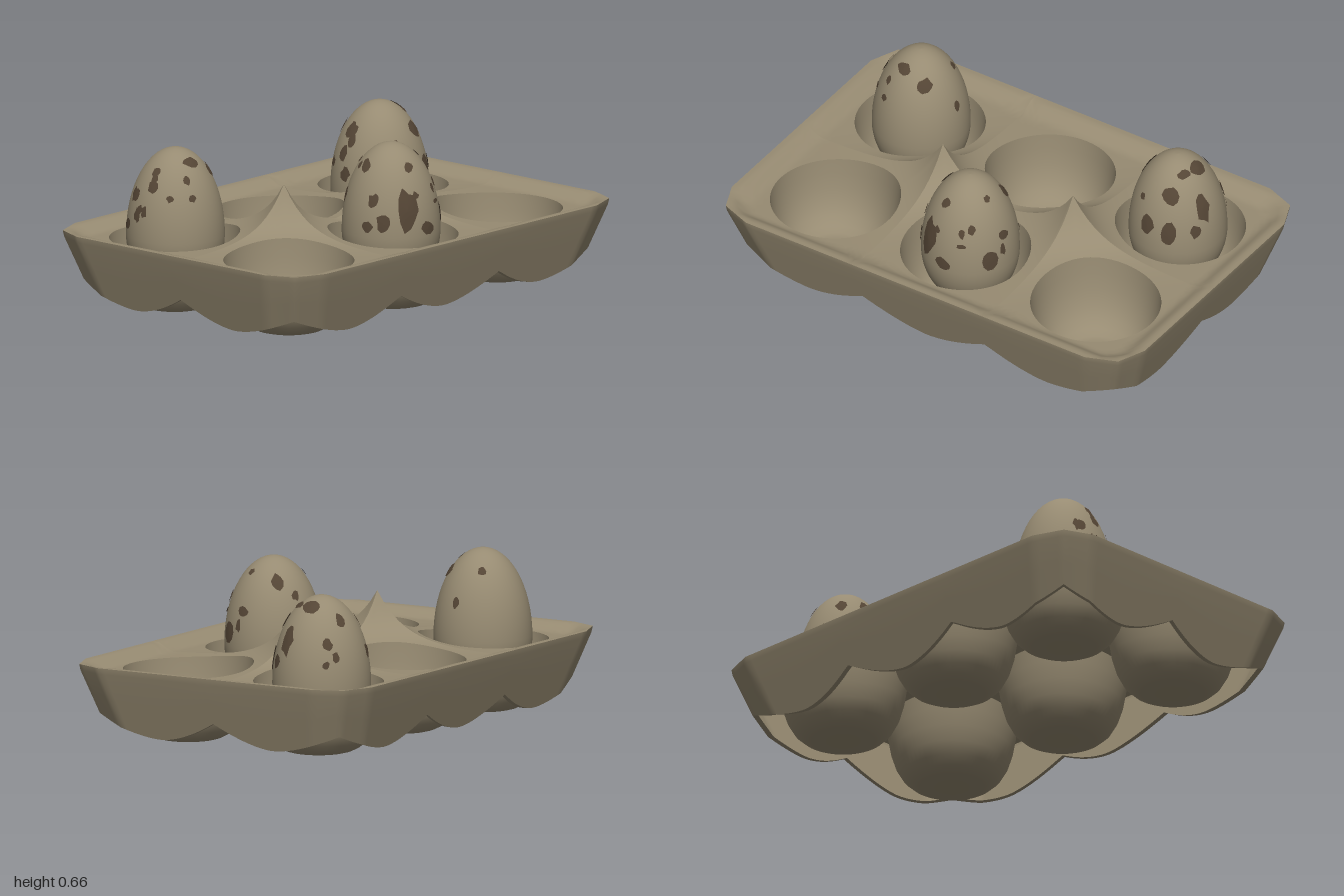
import * as THREE from 'three';
import { mergeGeometries } from 'three/addons/utils/BufferGeometryUtils.js';

const PULP = new THREE.MeshStandardMaterial({ color: 0x978b72, side: THREE.DoubleSide });
PULP.name = 'pulp';
const SHELL = new THREE.MeshStandardMaterial({ color: 0x978b72 });
SHELL.name = 'eggshell';
const SPOT = new THREE.MeshStandardMaterial({ color: 0x544535, side: THREE.DoubleSide });
SPOT.name = 'spot brown';

const RIM = 0.32, BASE = 0.285, CUP_R = 0.265, CX = 0.63, CZ = 0.31, PEAK_X = 0.315, HALF_Z = 0.68;

let seed = 7;
const rand = () => (seed = (seed * 16807) % 2147483647) / 2147483647;

function mesh(name, geometry, material) {
  const m = new THREE.Mesh(geometry, material);
  m.name = name;
  return m;
}

// Surface through rows of [x, y, z] points, each row a closed loop
function loft(rows) {
  const n = rows[0].length, index = [];
  for (let i = 0; i < rows.length - 1; i++) {
    for (let j = 0; j < n; j++) {
      const a = i * n + j, b = i * n + (j + 1) % n;
      index.push(a, a + n, b, b, a + n, b + n);
    }
  }
  const g = new THREE.BufferGeometry();
  g.setAttribute('position', new THREE.Float32BufferAttribute(rows.flat(2), 3));
  g.setIndex(index);
  g.computeVertexNormals();
  return g;
}

// Splits the sides of a closed polygon into short steps
function subdivide(poly, step) {
  return poly.flatMap(([x, z], i) => {
    const [x2, z2] = poly[(i + 1) % poly.length];
    const n = Math.ceil(Math.hypot(x2 - x, z2 - z) / step - 1e-6);
    return Array.from({ length: n }, (_, k) => [x + (x2 - x) * k / n, z + (z2 - z) * k / n]);
  });
}

// Height of the tray's upper sheet: two pointed peaks and a raised lip
function sheetHeight(x, z) {
  const ax = Math.abs(x), az = Math.abs(z);
  const d = Math.abs(ax - PEAK_X) + az;
  const edge = Math.min(1 - ax, HALF_Z - az, (1.58 - ax - az) * 0.7);
  const lip = 1 - THREE.MathUtils.smoothstep(edge, 0.025, 0.1);
  const inner = BASE + 0.215 * Math.exp(-d / 0.13);
  return inner + (RIM - inner) * lip;
}

// One cell: a round cup and the sheet around it
function cell(sx, sz) {
  const poly = sx
    ? [[PEAK_X, 0], [1, 0], [1, 0.51], [0.95, 0.63], [0.82, HALF_Z], [PEAK_X, HALF_Z]]
    : [[-PEAK_X, 0], [PEAK_X, 0], [PEAK_X, HALF_Z], [-PEAK_X, HALF_Z]];
  const border = subdivide(poly, 0.035).map(([x, z]) => [x * (sx || 1), z * sz]);
  const cx = sx * CX, cz = sz * CZ;
  const circle = border.map(([x, z]) => {
    const l = Math.hypot(x - cx, z - cz);
    return [cx + (x - cx) / l * CUP_R, cz + (z - cz) / l * CUP_R];
  });
  const sheet = [0, 0.15, 0.3, 0.45, 0.6, 0.75, 0.88, 1].map(t => border.map(([x, z], i) => {
    const px = circle[i][0] + (x - circle[i][0]) * t, pz = circle[i][1] + (z - circle[i][1]) * t;
    return [px, sheetHeight(px, pz), pz];
  }));
  // cup profile as [radius, height] fractions
  const profile = [[0, 0.01], [0.25, 0.01], [0.45, 0.01], [0.53, 0.03], [0.64, 0.08], [0.76, 0.18],
    [0.86, 0.34], [0.93, 0.54], [0.975, 0.77], [1, 1]];
  const bowl = profile.map(([r, h]) => circle.map(([x, z]) =>
    [cx + (x - cx) * r, sheetHeight(x, z) * h, cz + (z - cz) * r]));
  const g = new THREE.Group();
  g.name = 'cell';
  g.add(mesh('cup', loft(bowl), PULP), mesh('sheet', loft(sheet), PULP));
  return g;
}

// Sloping outer wall with a scalloped lower edge
function skirt() {
  const quarter = [[1, 0.51], [0.95, 0.63], [0.82, HALF_Z]];
  const outline = [
    ...quarter,
    ...quarter.map(([x, z]) => [-x, z]).reverse(),
    ...quarter.map(([x, z]) => [-x, -z]),
    ...quarter.map(([x, z]) => [x, -z]).reverse(),
  ];
  const pts = subdivide(outline, 0.03);
  const scallop = u => 0.035 + 0.095 * Math.pow(Math.min(u / 0.315, 1.1), 1.7);
  const low = pts.map(([x, z]) => {
    const ax = Math.abs(x), az = Math.abs(z);
    if (az >= 0.629) return scallop(ax > CX ? (ax - CX) * 0.9 : Math.min(ax, CX - ax));
    return scallop(az > CZ ? (az - CZ) * 0.9 : CZ - az);
  });
  const inset = ([x, z], o, y) => [x * (1 - o), y, z * (1 - o / HALF_Z)];
  const slope = y => 0.004 + Math.max(0, 0.295 - y) * 0.34;
  const rows = [
    pts.map(p => inset(p, 0, RIM)),
    pts.map(p => inset(p, 0.004, 0.295)),
    pts.map((p, i) => inset(p, slope((0.295 + low[i]) / 2), (0.295 + low[i]) / 2)),
    pts.map((p, i) => inset(p, slope(low[i]), low[i])),
  ];
  const inner = [
    pts.map((p, i) => inset(p, slope(low[i]) + 0.018, low[i])),
    pts.map(p => inset(p, 0.022, 0.295)),
  ];
  const g = new THREE.Group();
  g.name = 'skirt';
  g.add(mesh('outerWall', loft(rows), PULP), mesh('lowerEdge', loft([rows[3], inner[0]]), PULP),
    mesh('innerWall', loft(inner), PULP));
  return g;
}

// Egg: blunt lower half, longer upper half
const EGG_R = 0.2, EGG_MID = 0.3, EGG_LOW = 0.24, EGG_TOP = 0.36;
function eggPoint(az, lat, lift = 0) {
  const r = (EGG_R + lift) * Math.cos(lat);
  const y = EGG_MID + (lat > 0 ? EGG_TOP + lift : EGG_LOW) * Math.sin(lat);
  return [r * Math.sin(az), y, r * Math.cos(az)];
}

// Irregular patch lying on the shell: azimuth in degrees, height, width, tallness
function spot([deg, y, w, h]) {
  const az = THREE.MathUtils.degToRad(deg), s = Math.min(0.99, (y - EGG_MID) / EGG_TOP);
  const lat = Math.asin(s), r = EGG_R * Math.cos(lat);
  const arc = Math.hypot(EGG_R * s, EGG_TOP * Math.cos(lat));
  const jag = Array.from({ length: 10 }, () => 0.75 + 0.45 * rand());
  const rows = [1, 0.5, 0].map(t => jag.map((j, k) => {
    const a = k / 10 * Math.PI * 2;
    return eggPoint(az + Math.cos(a) * j * t * w / 2 / r, lat + Math.sin(a) * j * t * h / 2 / arc, 0.004);
  }));
  return loft(rows);
}

function egg(x, z, height, spots) {
  const profile = Array.from({ length: 33 }, (_, i) => {
    const p = eggPoint(0, -Math.PI / 2 + i / 32 * Math.PI);
    return new THREE.Vector2(Math.max(0, p[2]), p[1]);
  });
  // small scattered specks on the far side
  const specks = Array.from({ length: 9 }, () =>
    [120 + rand() * 170, 0.34 + rand() * 0.26, 0.025 + rand() * 0.03, 0.03 + rand() * 0.04]);
  const g = new THREE.Group();
  g.name = 'egg';
  g.add(mesh('shell', new THREE.LatheGeometry(profile, 48), SHELL),
    mesh('spots', mergeGeometries([...spots, ...specks].map(spot)), SPOT));
  g.position.set(x, height - 0.66, z);
  return g;
}

export function createModel() {
  const model = new THREE.Group();
  model.name = 'eggTray';
  for (const sx of [-1, 0, 1]) for (const sz of [-1, 1]) model.add(cell(sx, sz));
  model.add(skirt());
  model.add(
    egg(-0.625, -0.31, 0.66, [[-10, 0.61, 0.07, 0.05], [40, 0.57, 0.07, 0.06], [-30, 0.55, 0.03, 0.04],
      [-25, 0.48, 0.03, 0.03], [-55, 0.48, 0.03, 0.03], [-90, 0.42, 0.03, 0.05], [85, 0.45, 0.03, 0.05]]),
    egg(0.01, 0.29, 0.665, [[-28, 0.41, 0.09, 0.18], [-57, 0.36, 0.06, 0.08], [0, 0.335, 0.07, 0.05],
      [57, 0.36, 0.07, 0.09], [-15, 0.575, 0.04, 0.04], [22, 0.48, 0.025, 0.04], [35, 0.5, 0.03, 0.04],
      [22, 0.43, 0.04, 0.02], [-15, 0.47, 0.03, 0.03], [75, 0.39, 0.03, 0.05], [80, 0.45, 0.05, 0.04],
      [128, 0.57, 0.05, 0.08], [70, 0.6, 0.03, 0.03]]),
    egg(0.615, -0.315, 0.64, [[22, 0.55, 0.07, 0.08], [-7, 0.41, 0.06, 0.1], [22, 0.39, 0.07, 0.11],
      [55, 0.4, 0.05, 0.06], [-25, 0.51, 0.03, 0.03], [70, 0.49, 0.06, 0.12], [95, 0.62, 0.09, 0.06],
      [155, 0.57, 0.04, 0.06], [130, 0.48, 0.04, 0.05], [140, 0.43, 0.03, 0.04], [50, 0.62, 0.06, 0.04]]),
  );
  return model;
}
